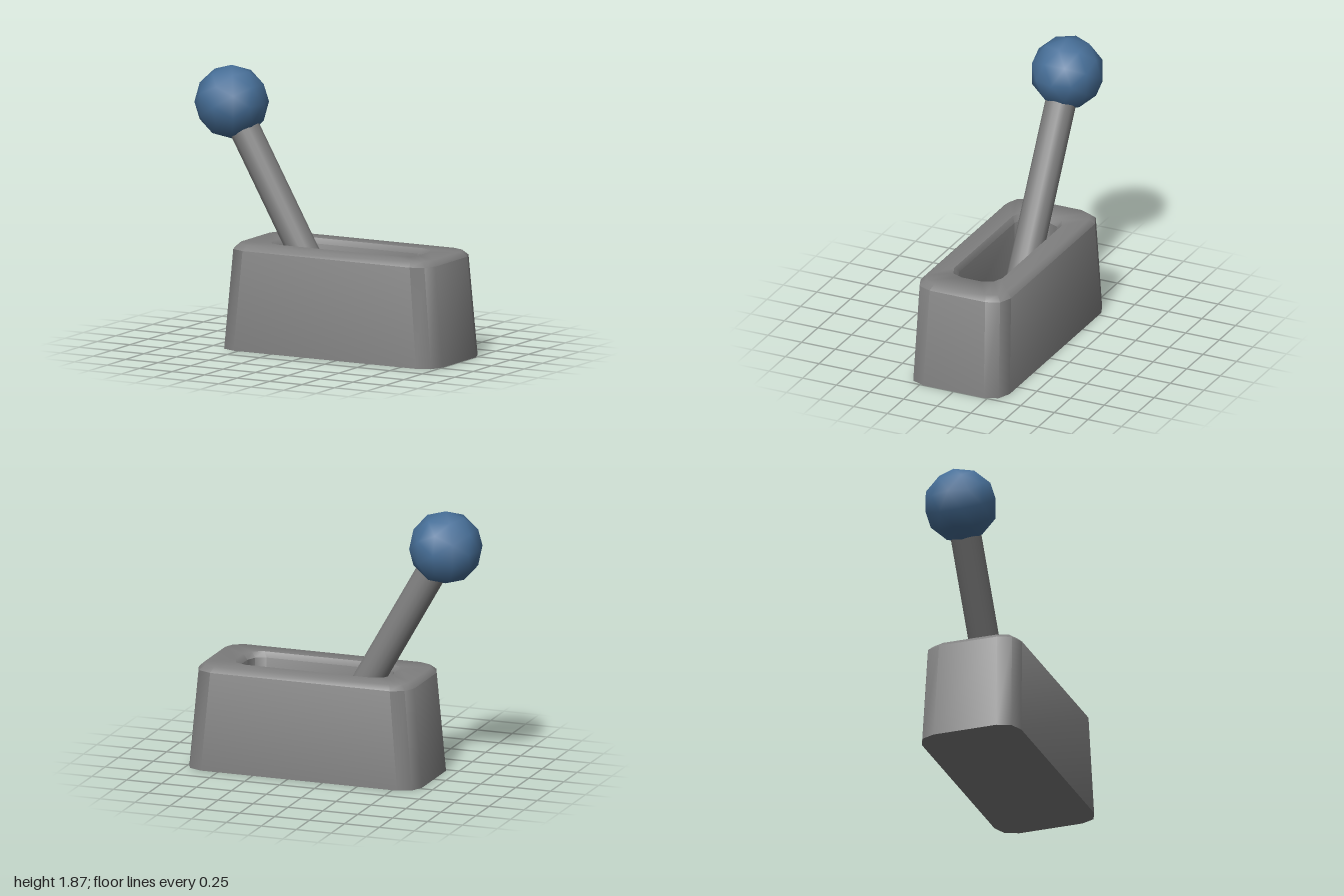
import * as THREE from 'three';
import { toCreasedNormals } from 'three/addons/utils/BufferGeometryUtils.js';

// Chamfered rectangle of 12 points, counter-clockwise seen from above
function ring(y, hx, hz, r) {
  const corner = [[hx, hz - r], [hx - 0.29 * r, hz - 0.29 * r], [hx - r, hz]];
  const back = [...corner].reverse();
  return [
    ...corner.map(([x, z]) => [x, y, -z]),
    ...back.map(([x, z]) => [-x, y, -z]),
    ...corner.map(([x, z]) => [-x, y, z]),
    ...back.map(([x, z]) => [x, y, z]),
  ];
}

// Skin successive rings and close both ends
function loft(rings) {
  const n = rings[0].length, last = rings.length - 1;
  const points = rings.flat();
  const start = points.push([0, rings[0][0][1], 0]) - 1;
  const end = points.push([0, rings[last][0][1], 0]) - 1;
  const index = [];
  for (let i = 0; i < n; i++) {
    const j = (i + 1) % n;
    for (let k = 0; k < last; k++) {
      const a = k * n + i, b = k * n + j;
      index.push(a, b, b + n, a, b + n, a + n);
    }
    index.push(start, j, i, end, last * n + i, last * n + j);
  }
  const geometry = new THREE.BufferGeometry();
  geometry.setAttribute('position', new THREE.Float32BufferAttribute(points.flat(), 3));
  geometry.setIndex(index);
  return toCreasedNormals(geometry, 0.8);
}

export function createModel() {
  const group = new THREE.Group();
  const grey = new THREE.MeshStandardMaterial({ name: 'grey metal', color: 0x808080 });
  const blue = new THREE.MeshStandardMaterial({ name: 'blue knob', color: 0x476f98 });
  const add = (name, geometry, material) => {
    const mesh = new THREE.Mesh(geometry, material);
    mesh.name = name;
    group.add(mesh);
    return mesh;
  };

  // Tapered base, bevelled over the top and down into the slot
  const base = add('base', loft([
    ring(0, 0.833, 0.355, 0.13),
    ring(0.68, 0.773, 0.337, 0.13),
    ring(0.715, 0.735, 0.3, 0.11),
    ring(0.715, 0.56, 0.18, 0.11),
    ring(0.68, 0.525, 0.155, 0.1),
    ring(0.25, 0.525, 0.155, 0.1),
  ]), grey);
  base.position.x = 0.167;

  // Leaning lever from the slot floor into the knob
  const foot = new THREE.Vector3(0.03, 0.25, 0);
  const head = new THREE.Vector3(-0.75, 1.62, 0);
  const axis = head.clone().sub(foot);
  const lever = add('lever', new THREE.CylinderGeometry(0.104, 0.104, axis.length(), 16), grey);
  lever.position.copy(foot).add(head).multiplyScalar(0.5);
  lever.quaternion.setFromUnitVectors(new THREE.Vector3(0, 1, 0), axis.normalize());

  // Faceted outline, smooth shaded knob
  const knob = add('knob', new THREE.IcosahedronGeometry(0.25, 1), blue);
  knob.position.copy(head);

  return group;
}
